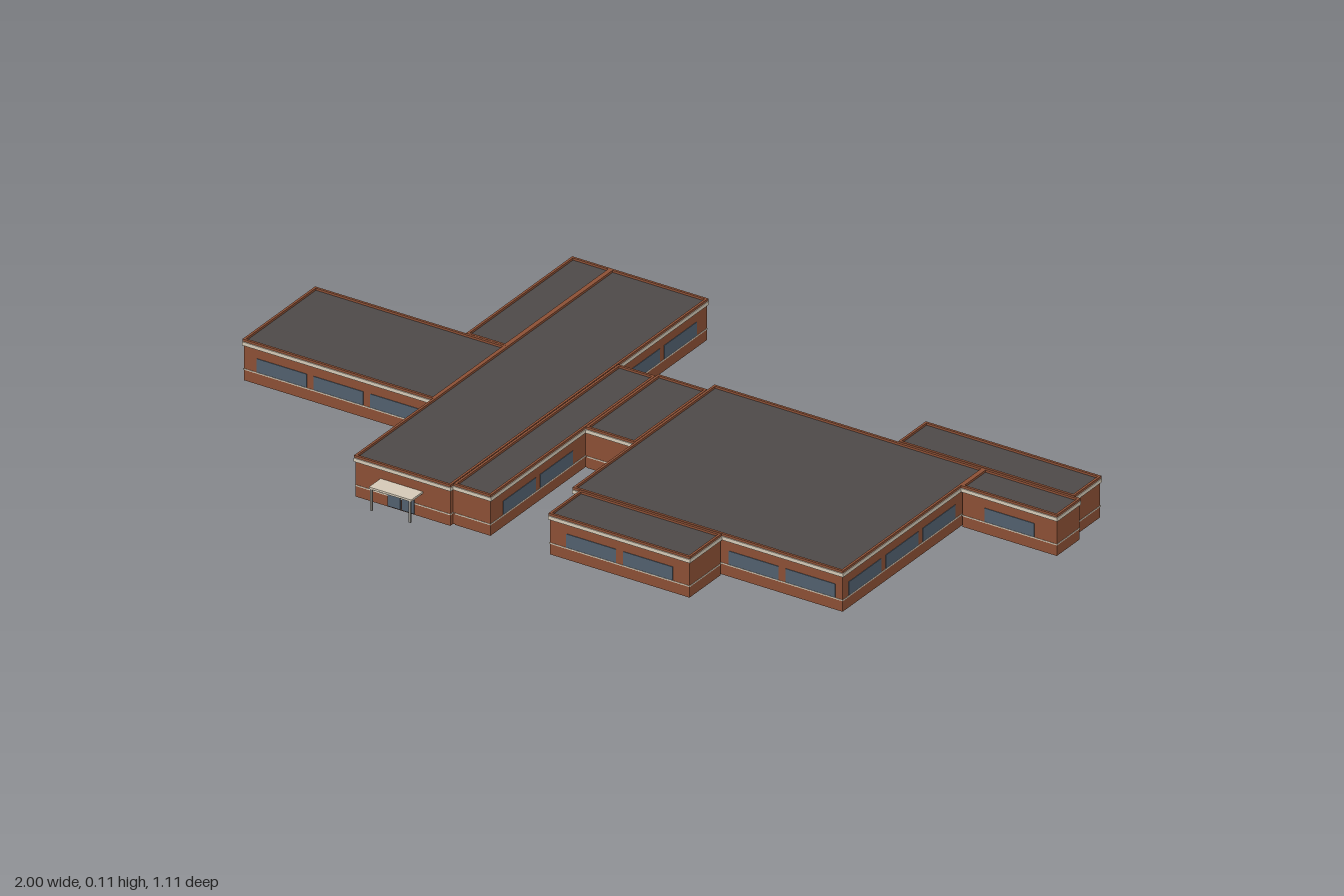
import * as THREE from 'three';

const mat = (name, color) => {
  const m = new THREE.MeshStandardMaterial({ color });
  m.name = name;
  return m;
};

export function createModel() {
  const brick = mat('brick', 0x8c5035);
  const roofing = mat('roofing', 0x4e4a49);
  const cream = mat('cream trim', 0xd6cbb8);
  const glass = mat('window glass', 0x52606f);
  const metal = mat('post metal', 0x8f8b84);

  const model = new THREE.Group();
  model.name = 'building';

  const add = (parent, name, geometry, material) => {
    const mesh = new THREE.Mesh(geometry, material);
    mesh.name = name;
    parent.add(mesh);
    return mesh;
  };

  const box = (parent, name, material, x0, x1, y0, y1, z0, z1) => {
    const mesh = add(parent, name, new THREE.BoxGeometry(x1 - x0, y1 - y0, z1 - z0), material);
    mesh.position.set((x0 + x1) / 2, (y0 + y1) / 2, (z0 + z1) / 2);
  };

  // Rectangular ring standing around a block: 'out' beyond its walls, 'thick' wide
  const ring = (parent, name, material, [x0, x1, z0, z1], out, thick, y0, y1) => {
    const corners = (d) => [[x0 - d, -z1 - d], [x1 + d, -z1 - d], [x1 + d, -z0 + d], [x0 - d, -z0 + d]]
      .map(([x, y]) => new THREE.Vector2(x, y));
    const shape = new THREE.Shape(corners(out));
    shape.holes.push(new THREE.Path(corners(out - thick).reverse()));
    const geometry = new THREE.ExtrudeGeometry(shape, { depth: y1 - y0, bevelEnabled: false });
    geometry.rotateX(-Math.PI / 2).translate(0, y0, 0);
    add(parent, name, geometry, material);
  };

  // Wings, each [x0, x1, z0, z1]; hollow and open underneath
  const wings = {
    westWing: [-0.997, -0.485, -0.115, 0.18],
    mainBar: [-0.483, -0.227, -0.553, 0.505],
    northWestStrip: [-0.59, -0.487, -0.553, -0.12],
    entranceStrip: [-0.221, -0.125, -0.18, 0.495],
    link: [-0.12, 0.008, -0.19, 0.105],
    hall: [0.013, 0.738, -0.218, 0.362],
    hallFrontRoom: [0.035, 0.412, 0.368, 0.495],
    northEastRoom: [0.508, 0.978, -0.333, -0.224],
    eastRoom: [0.742, 0.997, -0.218, -0.125],
  };
  for (const [name, r] of Object.entries(wings)) {
    const wing = new THREE.Group();
    wing.name = name;
    model.add(wing);
    ring(wing, 'walls', brick, r, 0, 0.004, 0, 0.1);
    ring(wing, 'sillCourse', cream, r, 0.001, 0.002, 0.0275, 0.0305);
    ring(wing, 'fascia', cream, r, 0.003, 0.004, 0.09, 0.099);
    ring(wing, 'coping', brick, r, 0.002, 0.006, 0.1, 0.106);
    box(wing, 'roof', roofing, r[0] + 0.003, r[1] - 0.003, 0.096, 0.1005, r[2] + 0.003, r[3] - 0.003);
  }

  // Brick infill closing the narrow joints between neighbouring wings: [x0, x1, z0, z1]
  const joints = [
    [-0.227, -0.221, -0.178, 0.493],
    [-0.125, -0.12, -0.178, 0.103],
    [0.008, 0.013, -0.188, 0.103],
  ];
  for (const [x0, x1, z0, z1] of joints) box(model, 'jointWall', brick, x0, x1, 0, 0.095, z0, z1);

  // Exposed wall runs with windows: [axis the wall runs along, wall position, start, end]
  const runs = [
    ['x', 0.18, -0.997, -0.485],
    ['x', -0.115, -0.997, -0.59],
    ['z', -0.997, -0.115, 0.18],
    ['z', -0.483, 0.18, 0.505],
    ['x', -0.553, -0.483, -0.227],
    ['z', -0.227, -0.553, -0.18],
    ['z', -0.59, -0.553, -0.12],
    ['z', -0.125, 0.105, 0.495],
    ['z', 0.013, 0.105, 0.362],
    ['x', -0.218, 0.013, 0.508],
    ['x', 0.362, 0.412, 0.738],
    ['z', 0.738, -0.125, 0.362],
    ['x', 0.495, 0.035, 0.412],
    ['x', -0.333, 0.508, 0.978],
    ['x', -0.125, 0.742, 0.997],
  ];
  const windows = new THREE.Group();
  windows.name = 'windows';
  model.add(windows);
  const pitch = 0.153, half = 0.067, t = 0.0015;
  for (const [axis, at, from, to] of runs) {
    const count = Math.floor((to - from) / 0.15);
    for (let i = 0; i < count; i++) {
      const c = (from + to) / 2 + (i - (count - 1) / 2) * pitch;
      if (axis === 'x') box(windows, 'window', glass, c - half, c + half, 0.0315, 0.066, at - t, at + t);
      else box(windows, 'window', glass, at - t, at + t, 0.0315, 0.066, c - half, c + half);
    }
  }

  // Entrance: pair of glazed doors, canopy and two posts
  const entrance = new THREE.Group();
  entrance.name = 'entrance';
  model.add(entrance);
  for (const [x0, x1] of [[-0.394, -0.36], [-0.357, -0.323]]) {
    box(entrance, 'doorGlass', glass, x0, x1, 0.003, 0.057, 0.505, 0.508);
  }
  box(entrance, 'canopy', cream, -0.415, -0.301, 0.061, 0.066, 0.505, 0.553);
  for (const x of [-0.41, -0.306]) {
    box(entrance, 'canopyPost', metal, x - 0.0025, x + 0.0025, 0.006, 0.061, 0.547, 0.552);
  }

  return model;
}
